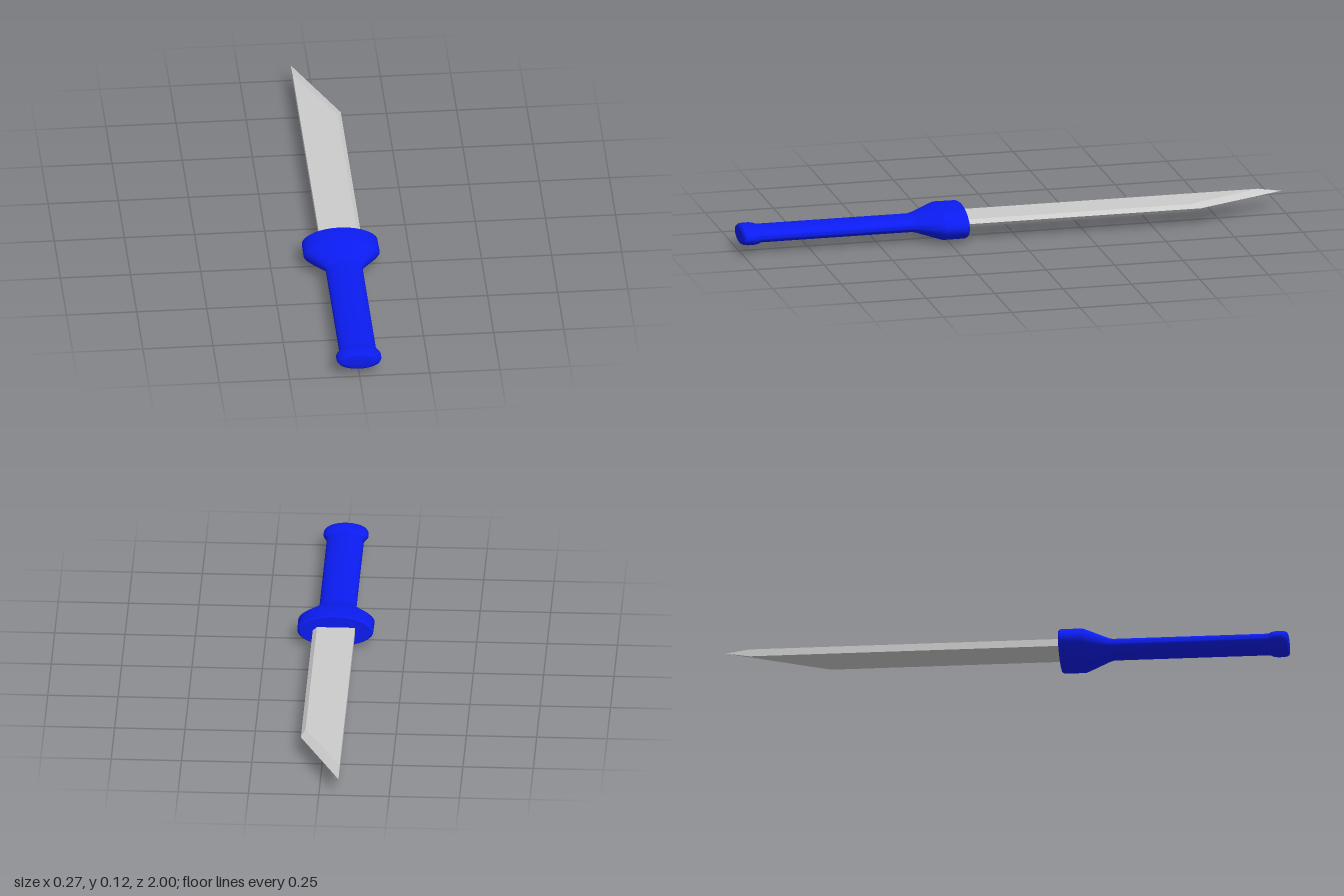
import * as THREE from 'three';
import { toCreasedNormals } from 'three/addons/utils/BufferGeometryUtils.js';

const AXIS_Y = 0.0625; // height of the long axis
const FLATTEN = 0.445; // handle sections are flattened ellipses

// Elliptical turned part along z from [radius, z] pairs (z ascending)
function turned(name, profile, material) {
  const points = profile.map(([r, z]) => new THREE.Vector2(r, z));
  let geometry = new THREE.LatheGeometry(points, 48);
  geometry.rotateX(Math.PI / 2);
  geometry = toCreasedNormals(geometry, 0.6);
  geometry.scale(1, FLATTEN, 1);
  const mesh = new THREE.Mesh(geometry, material);
  mesh.name = name;
  mesh.position.y = AXIS_Y;
  return mesh;
}

// Flat-faced blade: square spine on -x, bevelled edge on +x and along the slanted tip
function bladeGeometry() {
  const h = 0.0135, base = 0.22;
  const corners = {
    a: [-0.07, h, base], b: [0.065, h, base], c: [0.065, h, -0.63], d: [-0.07, h, -0.915],
    e: [0.08, 0, base], f: [0.08, 0, -0.67], g: [-0.07, 0, -1],
  };
  const mirror = ([x, y, z]) => [x, -y, z];
  const positions = [];
  const addFace = (pts) => {
    for (let i = 1; i < pts.length - 1; i++) positions.push(...pts[0], ...pts[i], ...pts[i + 1]);
  };
  // upper flat, edge bevel and tip bevel, each repeated underneath
  for (const face of ['abcd', 'befc', 'cfgd']) {
    const pts = [...face].map((k) => corners[k]);
    addFace(pts);
    addFace(pts.map(mirror).reverse());
  }
  const { a, b, d, e, g } = corners;
  addFace([a, d, g, mirror(d), mirror(a)]); // spine
  addFace([a, mirror(a), mirror(b), e, b]); // base
  const geometry = new THREE.BufferGeometry();
  geometry.setAttribute('position', new THREE.Float32BufferAttribute(positions, 3));
  geometry.computeVertexNormals();
  return geometry;
}

export function createModel() {
  const model = new THREE.Group();
  model.name = 'knife';
  const blue = new THREE.MeshStandardMaterial({ color: 0x0b1cf0 });
  const grey = new THREE.MeshStandardMaterial({ color: 0xcccccc, flatShading: true });

  const blade = new THREE.Mesh(bladeGeometry(), grey);
  blade.name = 'blade';
  blade.position.y = AXIS_Y + 0.003;
  model.add(blade);

  // Collar with a chamfered front rim, tapering into the grip
  model.add(turned('guard', [
    [0, 0.187], [0.128, 0.187], [0.135, 0.194], [0.136, 0.27], [0.129, 0.282], [0.073, 0.36], [0.066, 0.375],
  ], blue));
  model.add(turned('grip', [[0.066, 0.37], [0.066, 0.935]], blue));
  // Rounded bulge closing the handle
  model.add(turned('pommel', [
    [0.066, 0.93], [0.075, 0.941], [0.08, 0.957], [0.08, 0.978], [0.076, 0.992], [0.068, 0.998], [0.055, 1], [0, 1],
  ], blue));
  return model;
}
